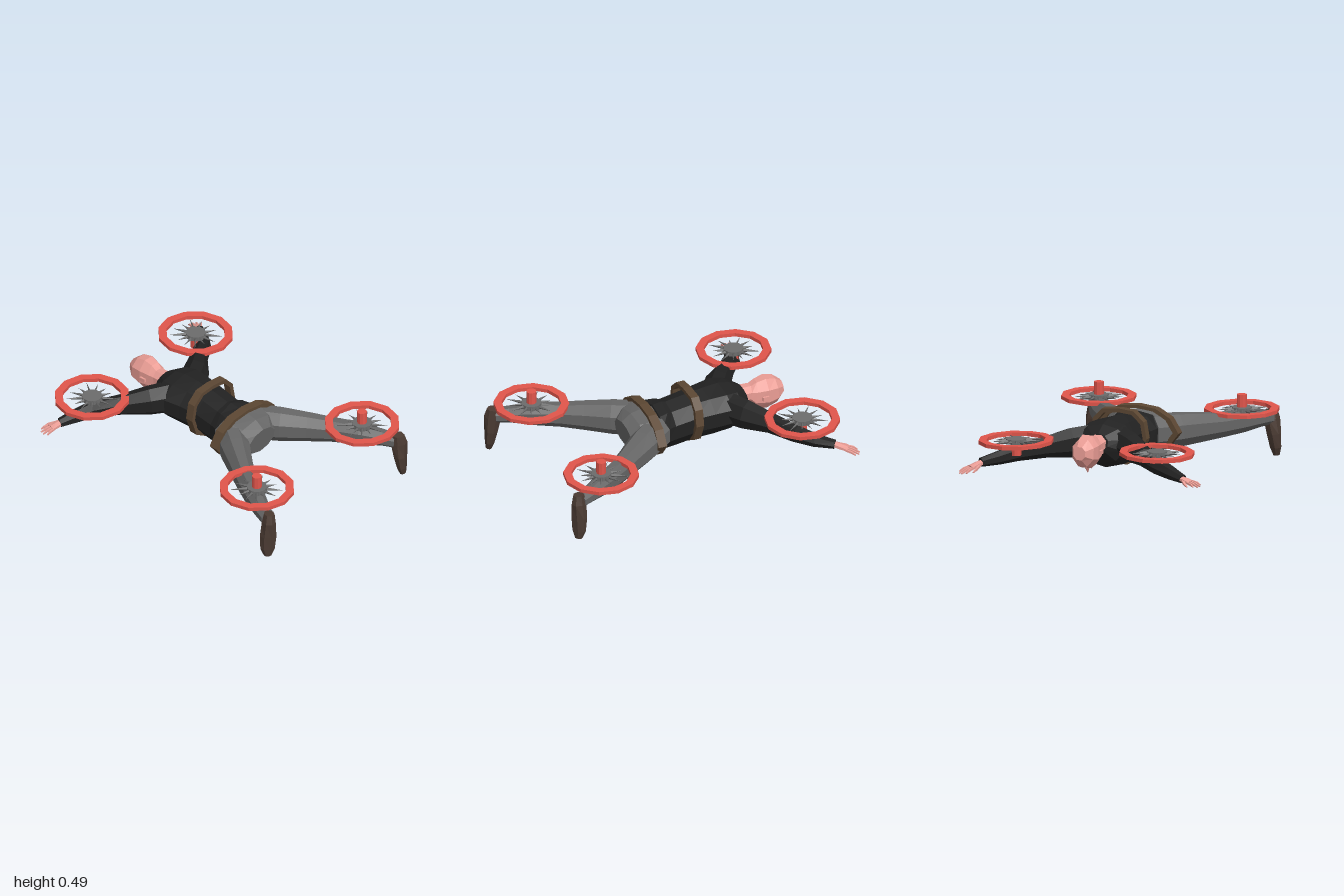
import * as THREE from 'three';

const COLORS = {
  shirt: 0x222222, trousers: 0x666666, skin: 0xea9d95, shoe: 0x4b3b33,
  strap: 0x5c4733, red: 0xe0554b, hub: 0x6c6c6c,
};
const mats = {};
for (const k in COLORS) {
  mats[k] = new THREE.MeshStandardMaterial({ color: COLORS[k], flatShading: true });
}

function mesh(name, geo, mat) {
  const m = new THREE.Mesh(geo, mats[mat]);
  m.name = name;
  return m;
}

// Closed low-poly tube through sections [x, y, z, half width, half height]
function loft(name, mat, sections, sides = 8, ref = new THREE.Vector3(0, 1, 0)) {
  const c = sections.map((s) => new THREE.Vector3(s[0], s[1], s[2]));
  const pos = [], idx = [], last = c.length - 1;
  c.forEach((p, i) => {
    const t = c[Math.min(i + 1, last)].clone().sub(c[Math.max(i - 1, 0)]).normalize();
    const s = ref.clone().cross(t).normalize();
    const u = t.clone().cross(s);
    for (let j = 0; j < sides; j++) {
      const a = ((j + 0.5) / sides) * Math.PI * 2;
      const v = p.clone()
        .addScaledVector(s, Math.cos(a) * sections[i][3])
        .addScaledVector(u, Math.sin(a) * sections[i][4]);
      pos.push(v.x, v.y, v.z);
    }
  });
  const first = c.length * sides;
  pos.push(...c[0].toArray(), ...c[last].toArray());
  for (let j = 0; j < sides; j++) {
    const k = (j + 1) % sides, e = last * sides;
    for (let i = 0; i < last; i++) {
      const a = i * sides + j, b = i * sides + k;
      idx.push(a, b, a + sides, b, b + sides, a + sides);
    }
    idx.push(first, k, j, first + 1, e + j, e + k);
  }
  const g = new THREE.BufferGeometry();
  g.setAttribute('position', new THREE.Float32BufferAttribute(pos, 3));
  g.setIndex(idx);
  g.computeVertexNormals();
  return mesh(name, g, mat);
}

// Palm, four fingers and a thumb from wrist towards tip
function hand(name, wrist, tip, thumbSide) {
  const g = new THREE.Group();
  g.name = name;
  const w = new THREE.Vector3(...wrist);
  const d = new THREE.Vector3(...tip).sub(w);
  const side = new THREE.Vector3(0, 1, 0).cross(d).normalize();
  const at = (f, off, drop = 0) => w.clone().addScaledVector(d, f).addScaledVector(side, off)
    .add(new THREE.Vector3(0, -drop, 0)).toArray();
  g.add(loft('palm', 'skin', [
    [...at(-0.15, 0), 0.022, 0.018], [...at(0.2, 0), 0.032, 0.018], [...at(0.55, 0), 0.036, 0.013],
  ], 6));
  for (let i = 0; i < 4; i++) {
    const o = (i - 1.5) * 0.019;
    const reach = i === 0 || i === 3 ? 0.92 : 1.04;
    g.add(loft('finger', 'skin', [
      [...at(0.5, o), 0.009, 0.009], [...at(0.75, o * 1.2), 0.009, 0.009],
      [...at(reach, o * 1.35, 0.008), 0.005, 0.005],
    ], 4));
  }
  g.add(loft('thumb', 'skin', [
    [...at(0.15, thumbSide * 0.02), 0.012, 0.01],
    [...at(0.45, thumbSide * 0.048, 0.008), 0.01, 0.009],
    [...at(0.66, thumbSide * 0.056, 0.016), 0.005, 0.005],
  ], 4));
  return g;
}

// Strap loop: outline in the x-y plane, given thickness and depth
function strap(name, outline, z, depth, cy, turn) {
  const cx = 0.02;
  const pts = outline.map(([x, y]) => new THREE.Vector2(x - cx, y - cy));
  const shape = new THREE.Shape(pts);
  shape.holes.push(new THREE.Path(pts.map((p) => p.clone().multiplyScalar(0.86)).reverse()));
  const geo = new THREE.ExtrudeGeometry(shape, { depth, bevelEnabled: false });
  geo.translate(0, 0, -depth / 2);
  const m = mesh(name, geo, 'strap');
  m.position.set(cx, cy, z);
  m.rotation.y = turn;
  return m;
}

// Ring guard, spiked hub and motor post; flipped rotors hang the post below
function rotor(name, x, y, z, flipped, tilt) {
  const g = new THREE.Group();
  g.name = name;
  const h = 0.012, ri = 0.19, ro = 0.242;
  const profile = [[ri, -h], [ro, -h], [ro, h], [ri, h], [ri, -h]].map((p) => new THREE.Vector2(...p));
  g.add(mesh('ringGuard', new THREE.LatheGeometry(profile, 12), 'red'));
  g.add(mesh('hub', new THREE.CylinderGeometry(0.066, 0.066, 0.03, 10), 'hub'));
  for (let i = 0; i < 13; i++) {
    const len = 0.08 + 0.02 * (i % 3);
    const cone = new THREE.ConeGeometry(0.014, len, 4);
    cone.scale(1, 1, 0.6);
    cone.rotateZ(-Math.PI / 2);
    cone.translate(0.055 + len / 2, 0, 0);
    const spike = mesh('blade', cone, 'hub');
    spike.rotation.y = (i / 13) * Math.PI * 2;
    g.add(spike);
  }
  const post = mesh('motorPost', new THREE.CylinderGeometry(0.032, 0.032, 0.1, 10), 'red');
  post.position.y = flipped ? -0.045 : 0.047;
  g.add(post);
  g.position.set(x, y, z);
  g.rotation.z = tilt;
  return g;
}

export function createModel() {
  const model = new THREE.Group();
  model.name = 'flyingFigure';

  // Torso in a shirt with a flared hem, running from collar to hips
  model.add(loft('shirt', 'shirt', [
    [0.02, 0.35, -0.54, 0.075, 0.06], [0.02, 0.33, -0.47, 0.18, 0.125],
    [0.02, 0.315, -0.38, 0.205, 0.155], [0.025, 0.305, -0.26, 0.18, 0.16],
    [0.025, 0.295, -0.13, 0.16, 0.155], [0.02, 0.275, 0.0, 0.155, 0.155],
    [0.02, 0.28, 0.07, 0.175, 0.16], [0.02, 0.3, 0.14, 0.2, 0.135],
  ], 10));
  model.add(loft('shirtFrontHem', 'shirt', [
    [0.03, 0.19, -0.05, 0.07, 0.03], [0.03, 0.16, 0.04, 0.08, 0.04], [0.03, 0.19, 0.13, 0.07, 0.02],
  ], 6));

  // Head facing down
  const head = new THREE.Group();
  head.name = 'head';
  head.add(loft('skull', 'skin', [
    [0.02, 0.345, -0.5, 0.065, 0.06], [0.02, 0.34, -0.58, 0.06, 0.06],
    [0.025, 0.325, -0.615, 0.07, 0.1], [0.03, 0.325, -0.69, 0.086, 0.115],
    [0.03, 0.33, -0.76, 0.08, 0.095], [0.035, 0.335, -0.81, 0.045, 0.045],
  ], 8));
  const nose = mesh('nose', new THREE.ConeGeometry(0.02, 0.05, 4), 'skin');
  nose.position.set(0.03, 0.205, -0.685);
  nose.rotation.x = Math.PI - 0.35;
  head.add(nose);
  for (const s of [-1, 1]) {
    const ear = mesh('ear', new THREE.BoxGeometry(0.014, 0.025, 0.045), 'skin');
    ear.position.set(0.03 + s * 0.083, 0.32, -0.66);
    head.add(ear);
  }
  model.add(head);

  // Arms and hands
  model.add(loft('rightArm', 'shirt', [
    [-0.06, 0.33, -0.38, 0.09, 0.11], [-0.19, 0.32, -0.47, 0.085, 0.1],
    [-0.33, 0.3, -0.59, 0.06, 0.07], [-0.47, 0.275, -0.71, 0.055, 0.058],
    [-0.58, 0.25, -0.765, 0.045, 0.045], [-0.67, 0.23, -0.805, 0.032, 0.03],
  ], 7));
  model.add(loft('leftArm', 'shirt', [
    [0.1, 0.33, -0.38, 0.09, 0.11], [0.23, 0.32, -0.46, 0.085, 0.1],
    [0.37, 0.3, -0.57, 0.06, 0.07], [0.52, 0.275, -0.67, 0.055, 0.058],
    [0.61, 0.25, -0.76, 0.045, 0.045], [0.69, 0.235, -0.86, 0.032, 0.03],
  ], 7));
  model.add(hand('rightHand', [-0.665, 0.23, -0.805], [-0.79, 0.205, -0.84], -1));
  model.add(hand('leftHand', [0.685, 0.235, -0.855], [0.775, 0.19, -0.985], 1));

  // Pelvis
  model.add(loft('pelvis', 'trousers', [
    [0.02, 0.295, 0.09, 0.17, 0.12], [0.02, 0.295, 0.17, 0.24, 0.13],
    [0.02, 0.285, 0.24, 0.2, 0.125], [0.02, 0.275, 0.31, 0.12, 0.09],
  ], 10));

  // Legs and shoes
  for (const s of [-1, 1]) {
    const label = s > 0 ? 'left' : 'right';
    const x = (v) => s * v + 0.02;
    model.add(loft(label + 'Leg', 'trousers', [
      [x(0.1), 0.285, 0.12, 0.1, 0.12], [x(0.21), 0.28, 0.28, 0.098, 0.115],
      [x(0.31), 0.275, 0.42, 0.08, 0.1], [x(0.4), 0.27, 0.55, 0.068, 0.085],
      [x(0.49), 0.27, 0.71, 0.066, 0.076], [x(0.56), 0.265, 0.84, 0.054, 0.055],
      [x(0.595), 0.26, 0.92, 0.048, 0.048],
    ], 8));
    const out = new THREE.Vector3(s * 0.55, 0, 0.83);
    model.add(loft(label + 'Shoe', 'shoe', [
      [x(0.6), 0.31, 0.935, 0.035, 0.04], [x(0.605), 0.25, 0.935, 0.045, 0.057],
      [x(0.615), 0.15, 0.94, 0.055, 0.045], [x(0.625), 0.06, 0.945, 0.048, 0.032],
      [x(0.63), 0.01, 0.95, 0.025, 0.02],
    ], 7, out));
  }

  // Harness straps round chest and hips
  model.add(strap('chestStrap', [
    [-0.08, 0.485], [0.02, 0.495], [0.14, 0.485], [0.2, 0.42], [0.22, 0.31], [0.17, 0.19],
    [0.07, 0.135], [-0.04, 0.135], [-0.13, 0.19], [-0.17, 0.31], [-0.15, 0.42],
  ], -0.142, 0.055, 0.315, -0.02));
  model.add(strap('hipStrap', [
    [-0.11, 0.44], [0.02, 0.455], [0.15, 0.44], [0.25, 0.385], [0.31, 0.29], [0.24, 0.2],
    [0.12, 0.155], [-0.08, 0.155], [-0.2, 0.2], [-0.27, 0.29], [-0.21, 0.385],
  ], 0.165, 0.06, 0.3, -0.03));

  // Rotors over wrists and ankles
  model.add(rotor('rightArmRotor', -0.46, 0.362, -0.72, true, 0.02));
  model.add(rotor('leftArmRotor', 0.505, 0.362, -0.72, true, -0.02));
  model.add(rotor('rightLegRotor', -0.465, 0.345, 0.72, false, 0));
  model.add(rotor('leftLegRotor', 0.515, 0.345, 0.72, false, 0));
  return model;
}
